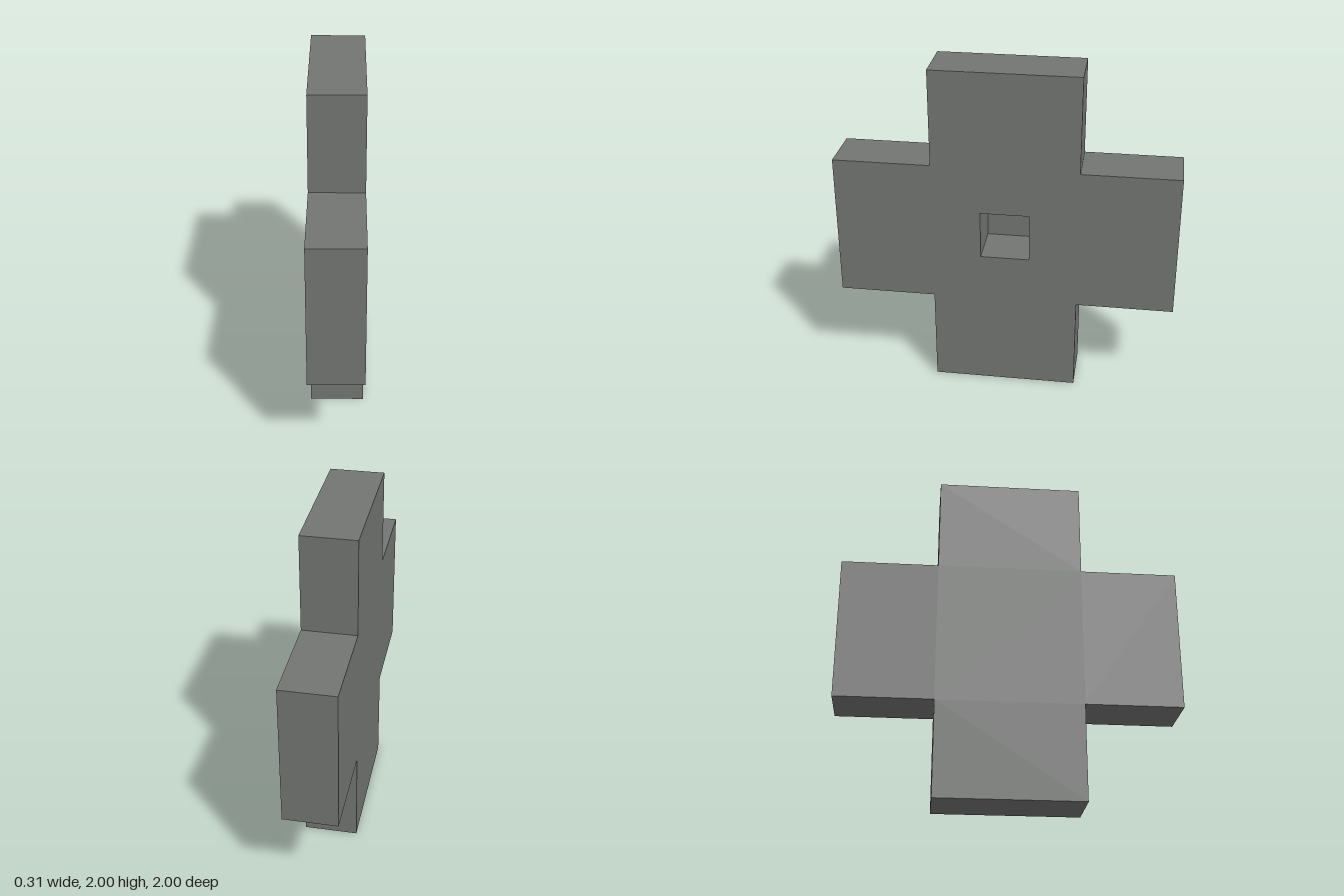
import * as THREE from 'three';
import { mergeGeometries } from 'three/addons/utils/BufferGeometryUtils.js';

const U = 2 / 7;                 // the cross is a 7 x 7 unit layout
const FRONT = 0.55 * U;          // half the slab thickness
const POCKET_FLOOR = FRONT - U;  // the pocket is one unit deep, leaving a thin back

const toPoints = (coords) => coords.map(([x, y]) => new THREE.Vector2(x * U, y * U));

// Side walls along a closed outline; counter-clockwise outlines face outward
function walls(points, z0, z1) {
  const positions = [];
  points.forEach((a, i) => {
    const b = points[(i + 1) % points.length];
    positions.push(a.x, a.y, z0, b.x, b.y, z0, b.x, b.y, z1);
    positions.push(a.x, a.y, z0, b.x, b.y, z1, a.x, a.y, z1);
  });
  const geometry = new THREE.BufferGeometry();
  geometry.setAttribute('position', new THREE.Float32BufferAttribute(positions, 3));
  geometry.computeVertexNormals();
  return geometry;
}

// Flat face at depth z, optionally with a hole, optionally facing backward
function face(points, z, { hole, backward } = {}) {
  const shape = new THREE.Shape(points);
  if (hole) shape.holes.push(new THREE.Path(hole));
  const geometry = new THREE.ShapeGeometry(shape).toNonIndexed();
  geometry.deleteAttribute('uv');
  // The cross is symmetric, so a half turn gives the backward face
  if (backward) geometry.rotateY(Math.PI);
  return geometry.translate(0, 0, z);
}

export function createModel() {
  const group = new THREE.Group();
  group.name = 'cross';
  const material = new THREE.MeshStandardMaterial({ color: 0x737573, flatShading: true });

  const outline = toPoints([
    [-1.5, -3.5], [1.5, -3.5], [1.5, -1.5], [3.5, -1.5], [3.5, 1.5], [1.5, 1.5],
    [1.5, 3.5], [-1.5, 3.5], [-1.5, 1.5], [-3.5, 1.5], [-3.5, -1.5], [-1.5, -1.5],
  ]);
  const square = toPoints([[-0.5, -0.5], [0.5, -0.5], [0.5, 0.5], [-0.5, 0.5]]);

  // Cross-shaped slab with a square blind pocket opening on its +x face
  const slab = mergeGeometries([
    face(outline, FRONT, { hole: square }),
    face(outline, -FRONT, { backward: true }),
    walls(outline, -FRONT, FRONT),
    walls([...square].reverse(), POCKET_FLOOR, FRONT),
    face(square, POCKET_FLOOR),
  ]);
  slab.rotateY(Math.PI / 2).translate(0, 1, 0);

  const mesh = new THREE.Mesh(slab, material);
  mesh.name = 'crossSlabWithPocket';
  group.add(mesh);
  return group;
}
